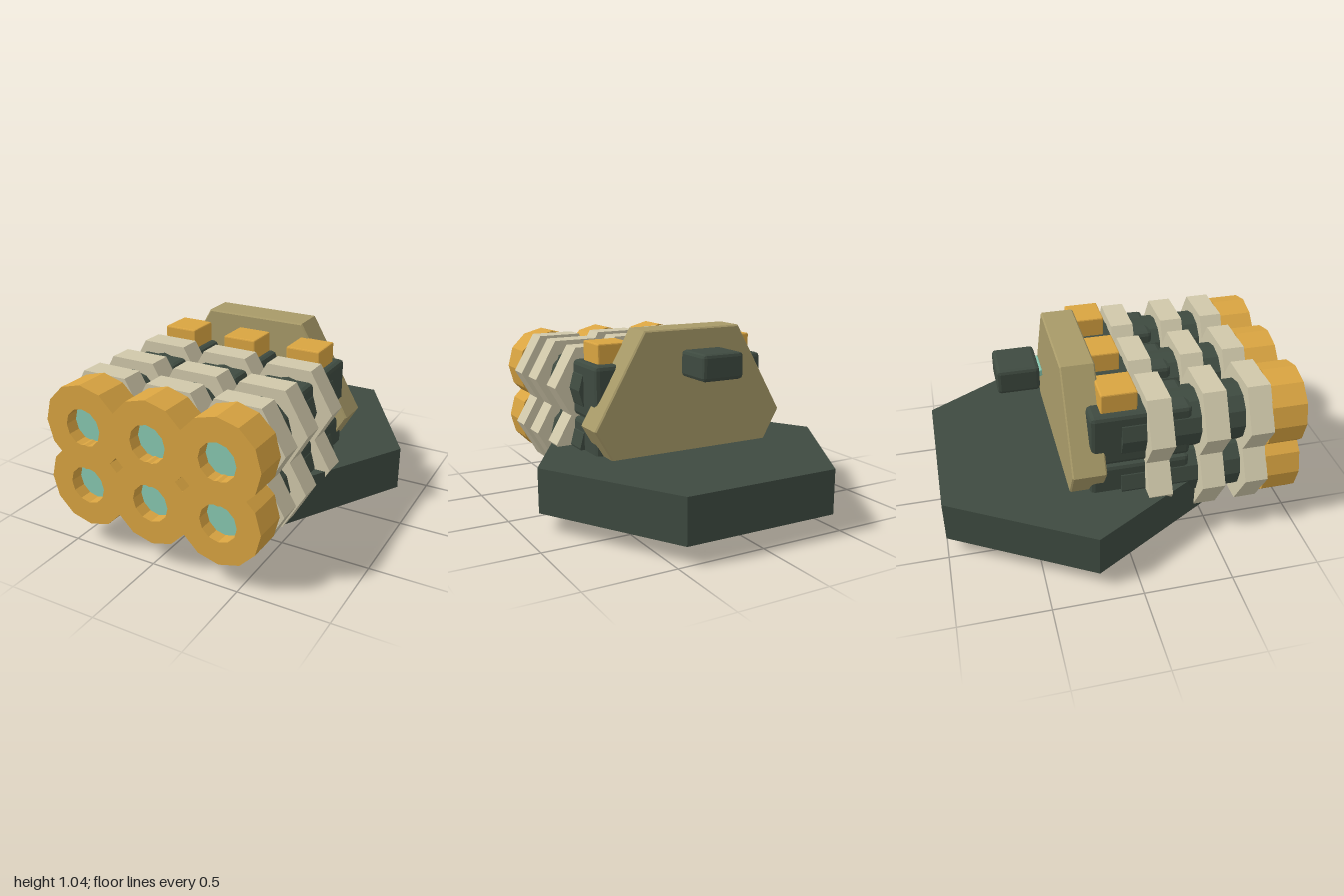
import * as THREE from 'three';
import { RoundedBoxGeometry } from 'three/addons/geometries/RoundedBoxGeometry.js';

const paint = (name, color) => {
  const m = new THREE.MeshStandardMaterial({ color });
  m.name = name;
  return m;
};

// Points of a regular polygon with a corner on +x
const ring = (r, n) => Array.from({ length: n }, (_, i) => {
  const a = (i / n) * Math.PI * 2;
  return new THREE.Vector2(r * Math.cos(a), r * Math.sin(a));
});

// Polygonal prism along z from z0 to z1, with optional hole and bevel
function prism(r, n, z0, z1, hole = 0, bevel = 0) {
  const shape = new THREE.Shape(ring(r - bevel, n));
  if (hole) shape.holes.push(new THREE.Path(ring(hole, 12).reverse()));
  const g = new THREE.ExtrudeGeometry(shape, {
    depth: z1 - z0 - 2 * bevel, bevelEnabled: bevel > 0,
    bevelSize: bevel, bevelThickness: bevel, bevelSegments: 1,
  });
  return g.translate(0, 0, z0 + bevel);
}

// Chamfered box given by its extents
function block(x0, x1, y0, y1, z0, z1, chamfer) {
  const g = new RoundedBoxGeometry(x1 - x0, y1 - y0, z1 - z0, 1, chamfer);
  g.computeVertexNormals();
  return g.translate((x0 + x1) / 2, (y0 + y1) / 2, (z0 + z1) / 2);
}

export function createModel() {
  const dark = paint('dark green', 0x3e4a40);
  const gold = paint('gold', 0xd9a441);
  const bone = paint('bone', 0xd0c8aa);
  const olive = paint('olive', 0xa89a68);
  const teal = paint('teal', 0x88c8b0);

  const model = new THREE.Group();
  model.name = 'launcher';
  const add = (parent, name, geometry, material) => {
    const mesh = new THREE.Mesh(geometry, material);
    mesh.name = name;
    parent.add(mesh);
    return mesh;
  };

  // Hexagonal base slab
  const base = add(model, 'base', prism(0.9, 6, 0.1, 0.35).rotateX(-Math.PI / 2), dark);
  base.position.z = -0.22;

  // Upright hexagonal mounting plate
  const plate = add(model, 'mountingPlate', prism(0.6, 6, -0.3, -0.11, 0, 0.008), olive);
  plate.position.y = 0.52;

  // Two rows of three tubes
  for (const y of [0.36, 0.69]) {
    for (const x of [-0.396, 0, 0.396]) {
      const tube = new THREE.Group();
      tube.name = 'tube';
      tube.position.set(x, y, 0);
      model.add(tube);
      add(tube, 'barrel', prism(0.172, 12, -0.02, 0.92), dark);
      add(tube, 'breech', block(-0.145, 0.145, -0.16, 0.16, -0.19, 0.37, 0.025), dark);
      add(tube, 'muzzle', prism(0.235, 12, 0.8, 1, 0.105), gold);
      add(tube, 'lens', prism(0.11, 12, 0.92, 0.928), teal);
      for (const z of [0.115, 0.42, 0.67]) {
        add(tube, 'collar', prism(0.26, 6, z, z + 0.132), bone);
      }
      // Latches sit on the upper row only
      if (y > 0.5) add(tube, 'latch', block(-0.1, 0.1, 0.12, 0.272, -0.125, 0.075, 0.008), gold);
    }
  }

  // Sensor floating behind the plate
  const sensor = new THREE.Group();
  sensor.name = 'sensor';
  model.add(sensor);
  add(sensor, 'sensorBody', block(-0.125, 0.125, 0.795, 0.94, -0.615, -0.38, 0.02), dark);
  add(sensor, 'sensorEye', block(-0.08, 0.08, 0.855, 0.895, -0.4, -0.36, 0.005), teal);

  return model;
}
